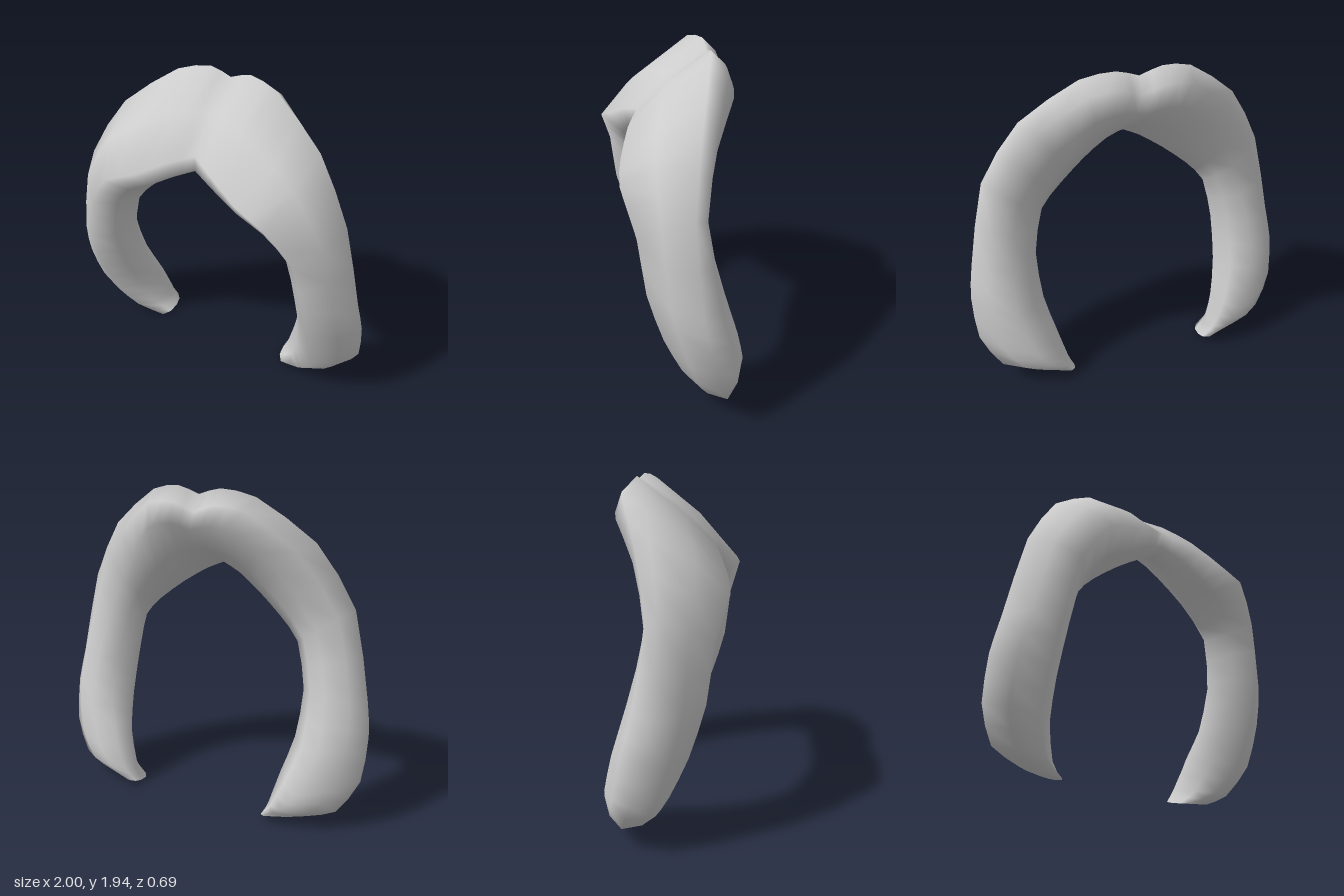
import * as THREE from 'three';

// Four rails run from the parting at the crown down to the tip of the left lock
const rails = {
  outer: [[0, 1.9, -0.22], [0.13, 1.94, -0.22], [0.32, 1.9, -0.17], [0.64, 1.66, -0.07], [0.86, 1.29, 0],
    [0.97, 0.77, -0.03], [1, 0.57, -0.07], [0.985, 0.31, -0.13], [0.87, 0.12, -0.2], [0.69, 0.04, -0.2]],
  front: [[0, 1.58, 0.18], [0.14, 1.53, 0.25], [0.33, 1.43, 0.315], [0.52, 1.35, 0.345], [0.68, 1.12, 0.28],
    [0.74, 0.8, 0.24], [0.76, 0.5, 0.15], [0.73, 0.25, 0.04], [0.63, 0.08, -0.05], [0.47, 0, -0.12]],
  inner: [[0, 1.45, 0.09], [0.11, 1.4, 0.08], [0.25, 1.31, 0.05], [0.4, 1.19, 0.02], [0.52, 1.05, 0.01],
    [0.58, 0.77, -0.02], [0.57, 0.5, -0.11], [0.52, 0.3, -0.2], [0.465, 0.1, -0.24], [0.43, 0.02, -0.24]],
  back: [[0, 1.72, -0.33], [0.12, 1.75, -0.345], [0.27, 1.71, -0.32], [0.47, 1.5, -0.19], [0.67, 1.17, -0.1],
    [0.76, 0.8, -0.18], [0.76, 0.5, -0.27], [0.67, 0.24, -0.335], [0.58, 0.13, -0.345], [0.47, 0.05, -0.325]],
};
const STEPS = 18;

// Rings of eight points: the rails plus a pushed-out midpoint between each pair
function halfRings() {
  const curves = Object.values(rails).map(
    (r) => new THREE.CatmullRomCurve3(r.map((p) => new THREE.Vector3(...p)), false, 'catmullrom', 0.3));
  const rings = [];
  for (let i = 0; i <= STEPS; i++) {
    const t = i / STEPS;
    // Flat at the back of the crown, rounder down the locks
    const bulge = [0.25, 0.2, 0.18, 0.28 * Math.min(1, 2.5 * t)];
    const corners = curves.map((c) => c.getPoint(t));
    const centre = corners.reduce((s, p) => s.add(p), new THREE.Vector3()).multiplyScalar(0.25);
    const ring = [];
    corners.forEach((p, k) => {
      const mid = p.clone().lerp(corners[(k + 1) % 4], 0.5);
      mid.addScaledVector(mid.clone().sub(centre), bulge[k]);
      mid.y = Math.max(mid.y, 0);
      ring.push(p, mid);
    });
    rings.push(ring);
  }
  return rings;
}

// Skin the rings into one closed smooth surface
function loft(rings) {
  const n = rings[0].length;
  const positions = [];
  const index = [];
  rings.forEach((ring) => ring.forEach((p) => positions.push(p.x, p.y, p.z)));
  for (let i = 0; i < rings.length - 1; i++) {
    for (let j = 0; j < n; j++) {
      const a = i * n + j;
      const b = i * n + ((j + 1) % n);
      index.push(a, b, a + n, b, b + n, a + n);
    }
  }
  // End caps with their own vertices so the tips stay crisp
  [[rings[0], true], [rings[rings.length - 1], false]].forEach(([ring, flip]) => {
    const base = positions.length / 3;
    const centre = ring.reduce((s, p) => s.add(p), new THREE.Vector3()).divideScalar(n);
    ring.forEach((p) => positions.push(p.x, p.y, p.z));
    positions.push(centre.x, centre.y, centre.z);
    for (let j = 0; j < n; j++) {
      const a = base + j;
      const b = base + ((j + 1) % n);
      index.push(...(flip ? [b, a] : [a, b]), base + n);
    }
  });
  const geometry = new THREE.BufferGeometry();
  geometry.setAttribute('position', new THREE.Float32BufferAttribute(positions, 3));
  geometry.setIndex(index);
  geometry.computeVertexNormals();
  return geometry;
}

export function createModel() {
  const grey = new THREE.MeshStandardMaterial({ color: 0xcccccc });
  grey.name = 'light grey';

  // Mirror the left half so the band runs from right tip to left tip
  const left = halfRings();
  const right = left.slice(1).reverse().map(
    (ring) => ring.map((p) => new THREE.Vector3(-p.x, p.y, p.z)));

  const band = new THREE.Mesh(loft([...right, ...left]), grey);
  band.name = 'hairBand';
  const group = new THREE.Group();
  group.name = 'hair';
  group.add(band);
  return group;
}
